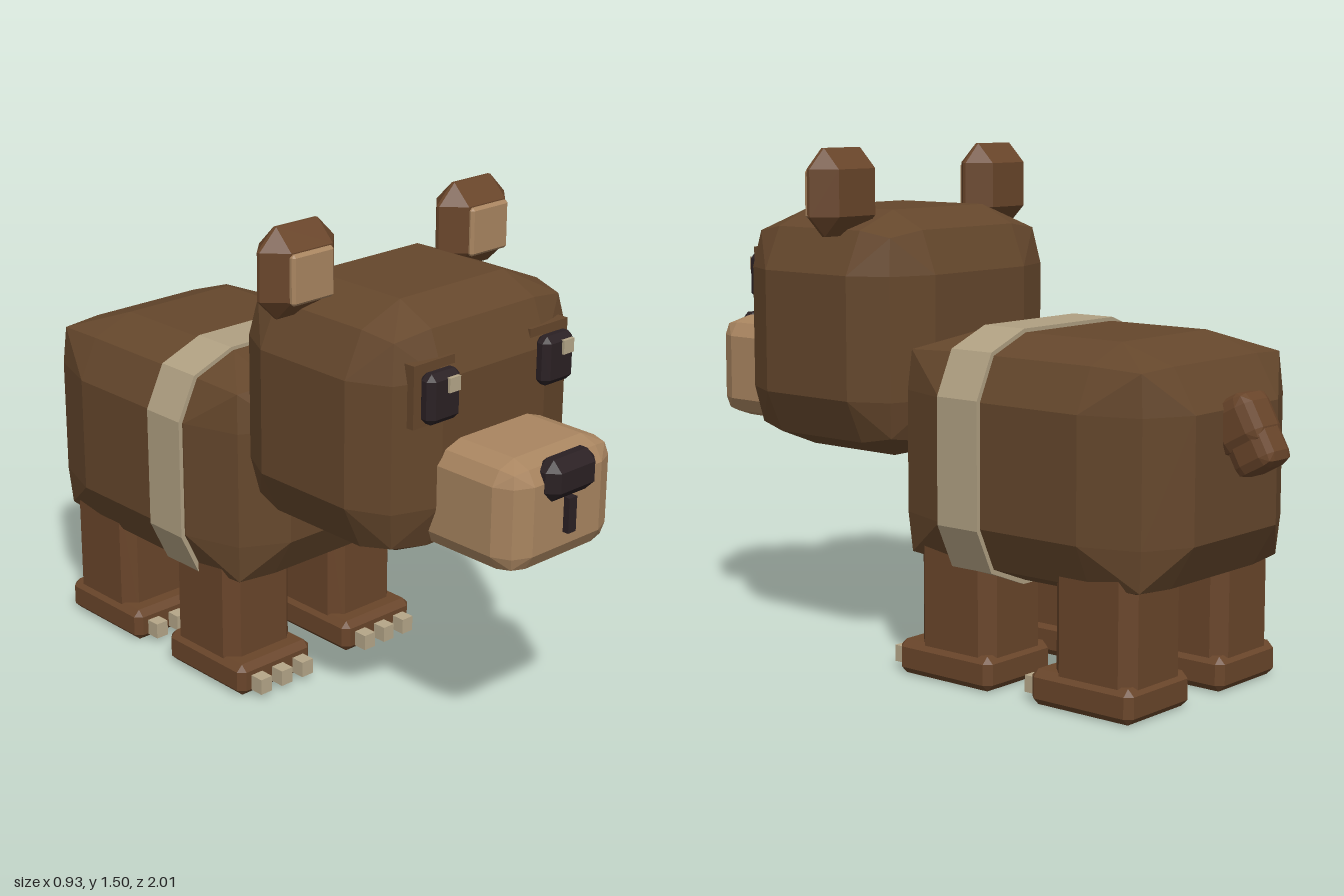
import * as THREE from 'three';
import { ConvexGeometry } from 'three/addons/geometries/ConvexGeometry.js';

const mat = (name, color) => {
  const m = new THREE.MeshStandardMaterial({ color, flatShading: true });
  m.name = name;
  return m;
};

// Low-poly rounded block: flat middles, pulled-in edges and corners
function roundedBlock(hx, hy, hz, inner = 0.5, edge = 0.85, corner = 0.8) {
  const pts = [];
  for (const sx of [-1, 1]) for (const sy of [-1, 1]) for (const sz of [-1, 1]) {
    const corners = [
      [1, inner, inner], [inner, 1, inner], [inner, inner, 1],
      [edge, edge, inner], [edge, inner, edge], [inner, edge, edge],
      [corner, corner, corner],
    ];
    for (const [x, y, z] of corners) pts.push(new THREE.Vector3(sx * x * hx, sy * y * hy, sz * z * hz));
  }
  return new ConvexGeometry(pts);
}

// Box with every edge cut by c
function chamferBox(hx, hy, hz, c) {
  const pts = [];
  for (const sx of [-1, 1]) for (const sy of [-1, 1]) for (const sz of [-1, 1]) {
    pts.push(new THREE.Vector3(sx * hx, sy * (hy - c), sz * (hz - c)));
    pts.push(new THREE.Vector3(sx * (hx - c), sy * hy, sz * (hz - c)));
    pts.push(new THREE.Vector3(sx * (hx - c), sy * (hy - c), sz * hz));
  }
  return new ConvexGeometry(pts);
}

// Upright prism with cut vertical edges
function legGeometry(h, height, c) {
  const pts = [];
  for (const y of [-height / 2, height / 2]) for (const sx of [-1, 1]) for (const sz of [-1, 1]) {
    pts.push(new THREE.Vector3(sx * h, y, sz * (h + 0.01 - c)));
    pts.push(new THREE.Vector3(sx * (h - c), y, sz * (h + 0.01)));
  }
  return new ConvexGeometry(pts);
}

export function createModel() {
  const group = new THREE.Group();
  const fur = mat('fur brown', 0x65472c);
  const limb = mat('warm brown', 0x69452a);
  const tan = mat('muzzle tan', 0xa98560);
  const band = mat('band beige', 0xb0a082);
  const cream = mat('claw cream', 0xb5a688);
  const dark = mat('dark', 0x2a2023);

  const add = (name, geometry, material, x, y, z, parent = group) => {
    const mesh = new THREE.Mesh(geometry, material);
    mesh.name = name;
    mesh.position.set(x, y, z);
    parent.add(mesh);
    return mesh;
  };
  const box = (w, h, d) => new THREE.BoxGeometry(w, h, d);

  // Body and head
  add('body', roundedBlock(0.387, 0.35, 0.485, 0.5, 0.85, 0.83), fur, 0, 0.65, -0.385);
  add('head', roundedBlock(0.394, 0.36, 0.33), fur, 0, 0.96, 0.37);

  // Band around the body
  const outline = [];
  const quarter = [[0.4, 0.18], [0.339, 0.307], [0.2, 0.361]];
  for (const [sx, sy] of [[1, 1], [-1, 1], [-1, -1], [1, -1]]) {
    const q = sx * sy > 0 ? quarter : [...quarter].reverse();
    for (const [x, y] of q) outline.push(new THREE.Vector2(sx * x, sy * y));
  }
  const bandGeometry = new THREE.ExtrudeGeometry(new THREE.Shape(outline), { depth: 0.145, bevelEnabled: false });
  add('bodyBand', bandGeometry, band, 0, 0.65, -0.293);

  // Muzzle, nose and mouth
  add('muzzle', roundedBlock(0.21, 0.158, 0.2, 0.62, 0.88, 0.84), tan, 0, 0.803, 0.768);
  add('nose', chamferBox(0.095, 0.058, 0.042, 0.03), dark, 0, 0.902, 0.958);
  add('mouthLine', box(0.03, 0.1, 0.03), dark, 0, 0.793, 0.972);

  for (const s of [1, -1]) {
    const side = s > 0 ? 'left' : 'right';

    // Eyes set on raised sockets
    add(side + 'EyeSocket', box(0.15, 0.175, 0.08), fur, s * 0.22, 1.108, 0.648);
    add(side + 'Eye', chamferBox(0.06, 0.07, 0.027, 0.018), dark, s * 0.22, 1.105, 0.71);
    add(side + 'EyeGlint', box(0.04, 0.04, 0.012), cream, s * 0.22 + 0.02, 1.14, 0.739);

    // Ears
    add(side + 'Ear', chamferBox(0.132, 0.126, 0.064, 0.059), limb, s * 0.332, 1.374, 0.28);
    add(side + 'InnerEar', chamferBox(0.074, 0.07, 0.012, 0.008), tan, s * 0.335, 1.368, 0.345);

    // Legs, feet and claws
    for (const [end, z] of [['Front', -0.118], ['Back', -0.608]]) {
      const leg = new THREE.Group();
      leg.name = side + end + 'Leg';
      leg.position.set(s * 0.21, 0, z);
      group.add(leg);
      add('leg', legGeometry(0.128, 0.42, 0.038), limb, 0, 0.26, -0.024, leg);
      add('foot', chamferBox(0.141, 0.05, 0.173, 0.02), limb, 0, 0.052, 0, leg);
      for (const i of [-1, 0, 1]) add('claw', box(0.042, 0.048, 0.06), cream, i * 0.081, 0.044, 0.187, leg);
    }
  }

  // Tail of two tilted lumps
  add('tailBase', roundedBlock(0.07, 0.075, 0.075), limb, 0, 0.785, -0.89).rotation.x = 0.5;
  add('tailTip', roundedBlock(0.062, 0.066, 0.066), limb, 0, 0.722, -0.933).rotation.x = 0.5;

  return group;
}
